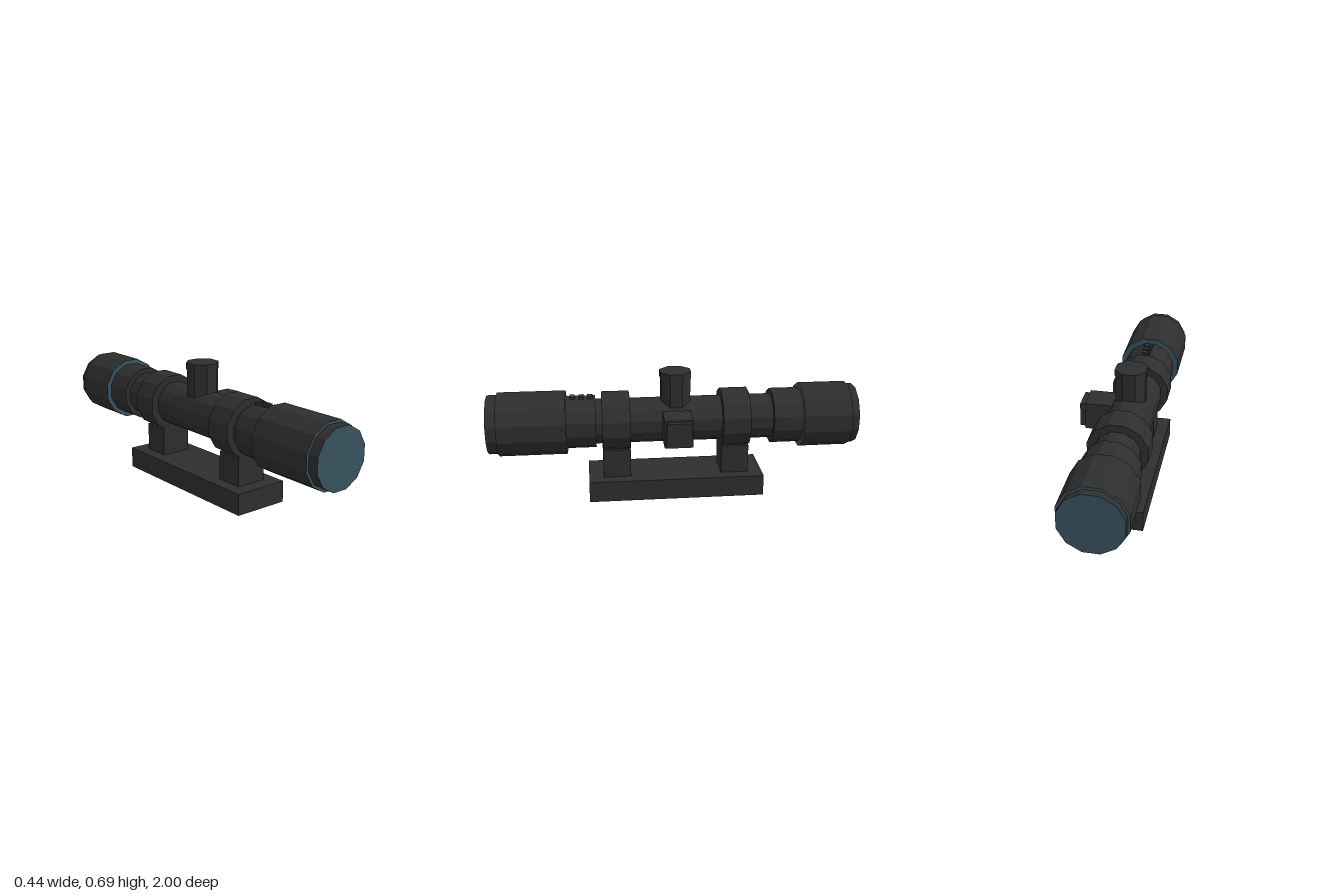
import * as THREE from 'three';

export function createModel() {
  const black = new THREE.MeshStandardMaterial({ name: 'matte black', color: 0x2e2e2e, flatShading: true });
  const glass = new THREE.MeshStandardMaterial({ name: 'blue glass', color: 0x38525f, flatShading: true });
  const model = new THREE.Group();
  model.name = 'riflescope';
  const axisX = -0.05, axisY = 0.411;

  const add = (name, geometry, material) => {
    const mesh = new THREE.Mesh(geometry, material);
    mesh.name = name;
    model.add(mesh);
    return mesh;
  };
  // Box given by its lower and upper corners
  const box = (name, [x0, y0, z0], [x1, y1, z1], material = black) =>
    add(name, new THREE.BoxGeometry(x1 - x0, y1 - y0, z1 - z0), material)
      .position.set((x0 + x1) / 2, (y0 + y1) / 2, (z0 + z1) / 2);
  // Regular prism with flats facing the axes, sized by half its width across flats
  const prism = (sides, halfWidth, length) => {
    const r = halfWidth / Math.cos(Math.PI / sides);
    return new THREE.CylinderGeometry(r, r, length, sides, 1, false, Math.PI / sides);
  };
  // Twelve-sided barrel section along z, optionally with blue end faces
  const section = (name, z0, z1, halfWidth, blueEnds) =>
    add(name, prism(12, halfWidth, z1 - z0).rotateX(Math.PI / 2), blueEnds ? [black, glass, glass] : black)
      .position.set(axisX, axisY, (z0 + z1) / 2);

  // Barrel, front to back
  section('frontLens', 0.945, 1, 0.154, true);
  section('frontBell', 0.58, 0.945, 0.167, true);
  section('frontCollar', 0.423, 0.58, 0.137);
  section('mainTube', -0.535, 0.423, 0.118);
  section('rearCollar', -0.695, -0.535, 0.146);
  section('rearBell', -0.96, -0.695, 0.171, true);
  section('rearLens', -1, -0.96, 0.159, true);

  // Clamp rings and their feet
  for (const [name, z0, z1] of [['front', 0.24, 0.39], ['rear', -0.407, -0.257]]) {
    section(name + 'Ring', z0, z1, 0.156);
    box(name + 'Foot', [-0.132, 0.115, z0], [0.039, 0.27, z1]);
  }
  box('baseRail', [-0.199, 0, -0.485], [0.106, 0.115, 0.47]);

  // Octagonal top turret
  add('turret', prism(8, 0.079, 0.15), black).position.set(-0.047, 0.575, -0.01);
  add('turretCap', prism(8, 0.083, 0.036), black).position.set(-0.047, 0.668, -0.01);

  // Square side knob
  box('sideKnob', [0.04, 0.335, -0.083], [0.192, 0.487, 0.068]);
  box('sideKnobCap', [0.192, 0.345, -0.074], [0.22, 0.478, 0.058]);

  // Small studs with blue markers on the front collar
  for (const z of [0.45, 0.497, 0.545]) {
    box('stud', [-0.07, 0.54, z - 0.014], [-0.022, 0.561, z + 0.014]);
    box('studMarker', [-0.05, 0.561, z - 0.008], [-0.034, 0.563, z + 0.008], glass);
  }
  return model;
}
